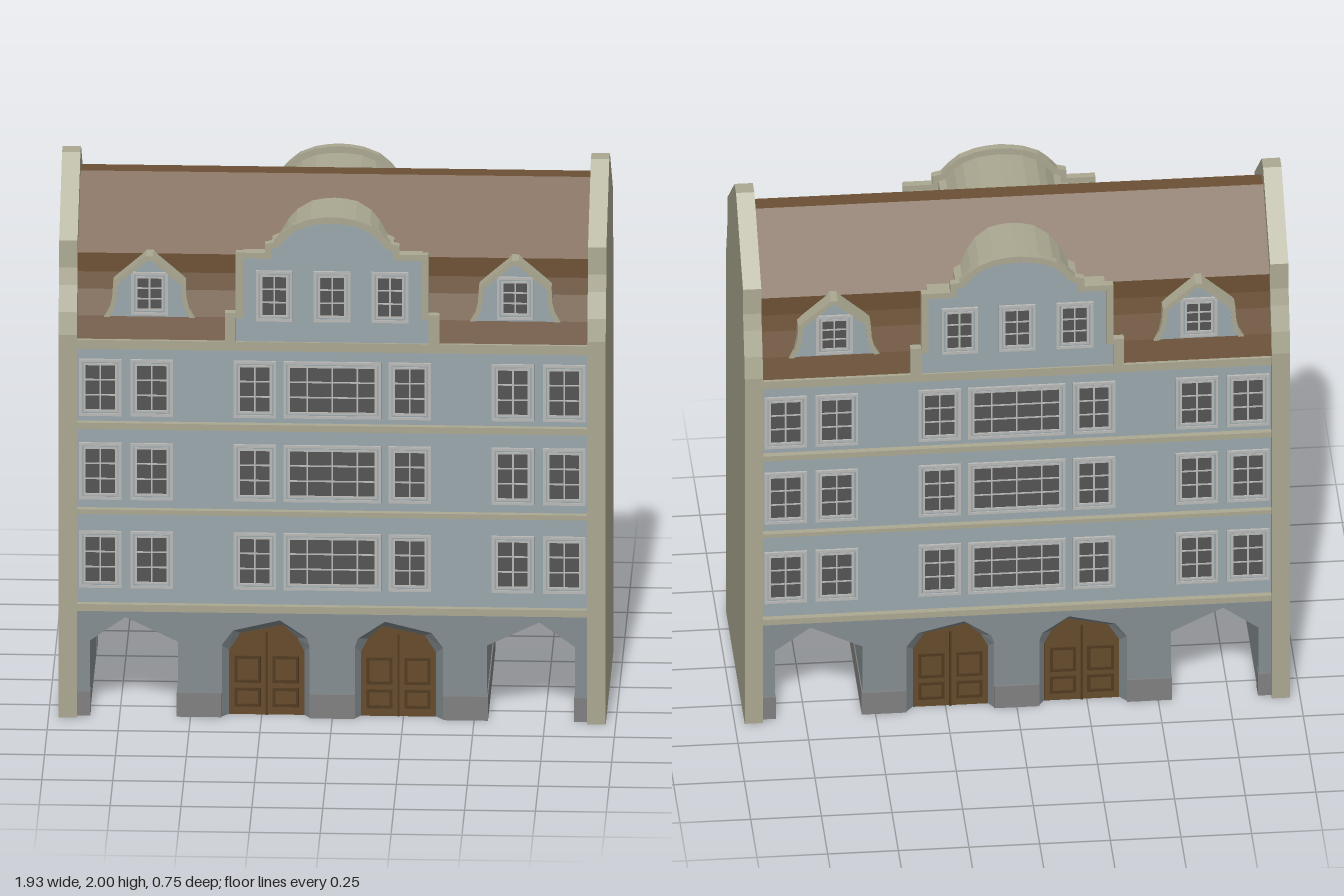
import * as THREE from 'three';

const mat = (color) => new THREE.MeshStandardMaterial({ color, flatShading: true, roughness: 0.9 });
const M = {
  cream: mat(0xaaa891), wall: mat(0x9aa7ac), base: mat(0x848d91), plinth: mat(0x808080),
  roof: mat(0x6b4f33), door: mat(0x654a2b), doorPanel: mat(0x513a20), frame: mat(0xb9b9b7), glass: mat(0x545454),
};
M.reveal = mat(0x7d8588);
M.reveal.side = THREE.DoubleSide;

function add(parent, name, geometry, material) {
  const mesh = new THREE.Mesh(geometry, material);
  mesh.name = name;
  parent.add(mesh);
  return mesh;
}

// Box given by its limits
function box(parent, name, material, x0, x1, y0, y1, z0, z1) {
  const g = new THREE.BoxGeometry(x1 - x0, y1 - y0, z1 - z0);
  g.translate((x0 + x1) / 2, (y0 + y1) / 2, (z0 + z1) / 2);
  return add(parent, name, g, material);
}

const toShape = (pts) => new THREE.Shape(pts.map(([x, y]) => new THREE.Vector2(x, y)));
const mirror = (pts) => pts.map(([x, y]) => [-x, y]).reverse();

// Flat outline extruded from z0 to z1
function slab(parent, name, material, pts, z0, z1, hole) {
  const s = toShape(pts);
  if (hole) s.holes.push(toShape(hole));
  const g = new THREE.ExtrudeGeometry(s, { depth: z1 - z0, bevelEnabled: false });
  g.translate(0, 0, z0);
  return add(parent, name, g, material);
}

// Symmetric cross-section (z, y) extruded along x
function crossSection(parent, name, material, half, x0, x1) {
  const g = new THREE.ExtrudeGeometry(toShape([...half, ...mirror(half)]), { depth: x1 - x0, bevelEnabled: false });
  g.rotateY(Math.PI / 2).translate(x0, 0, 0);
  return add(parent, name, g, material);
}

const rect = (x0, x1, y0, y1) => [[x0, y0], [x1, y0], [x1, y1], [x0, y1]];

// Window with stepped frame, glazing and bars; bars are given as fractions of the glass
function addWindow(parent, x, y, w, h, z, cols, rows) {
  const g = new THREE.Group();
  g.name = 'window';
  g.position.set(x, y, z);
  parent.add(g);
  const a = w / 2, b = h / 2, f = 0.01;
  const ring = (t) => rect(-a + t, a - t, -b + t, b - t);
  slab(g, 'outerFrame', M.frame, ring(0), -0.005, 0.008, ring(f));
  slab(g, 'innerFrame', M.wall, ring(f), -0.005, 0.004, ring(f + 0.005));
  slab(g, 'sash', M.frame, ring(f + 0.005), -0.005, 0.006, ring(f + 0.013));
  const p = a - f - 0.01, q = b - f - 0.01;
  box(g, 'glass', M.glass, -p, p, -q, q, -0.005, 0.001);
  for (const c of cols) box(g, 'mullion', M.frame, c * p - 0.003, c * p + 0.003, -q, q, -0.003, 0.005);
  for (const r of rows) box(g, 'glazingBar', M.frame, -p, p, r * q - 0.0025, r * q + 0.0025, -0.003, 0.004);
}

// Passage and door openings on the +x side, listed from the centre outwards
const PASSAGE = [[0.545, 0], [0.545, 0.28], [0.73, 0.37], [0.855, 0.28], [0.855, 0]];
const DOORWAY = [[0.08, 0], [0.08, 0.27], [0.09, 0.3], [0.185, 0.365], [0.35, 0.325], [0.39, 0.27], [0.39, 0]];
const DOOR = [[0.1, 0], [0.1, 0.24], [0.125, 0.29], [0.175, 0.338], [0.325, 0.305], [0.365, 0.24], [0.365, 0]];

// Ground-floor wall outline with the openings notched out of its lower edge
function groundOutline(...openings) {
  const right = openings.flat();
  return [...mirror(right), ...right, [0.9, 0], [0.9, 0.4], [-0.9, 0.4], [-0.9, 0]];
}

// Splayed reveal between the doorway and the door leaf
function reveal(outer, inner, z0, z1) {
  const pos = [], idx = [];
  outer.forEach(([x, y], i) => {
    pos.push(x, y, z0, inner[i][0], inner[i][1], z1);
    if (i) idx.push(2 * i - 2, 2 * i - 1, 2 * i, 2 * i, 2 * i - 1, 2 * i + 1);
  });
  const g = new THREE.BufferGeometry();
  g.setAttribute('position', new THREE.Float32BufferAttribute(pos, 3));
  g.setIndex(idx);
  g.computeVertexNormals();
  return g;
}

function addDoor(parent, s) {
  const g = new THREE.Group();
  g.name = 'archedDoor';
  parent.add(g);
  const side = (pts) => (s > 0 ? pts : mirror(pts));
  add(g, 'doorReveal', reveal(side(DOORWAY), side(DOOR), 0.345, 0.315), M.reveal);
  slab(g, 'doorLeaf', M.door, side(DOOR), 0.29, 0.317);
  const c = s * 0.2325;
  box(g, 'doorSeam', M.doorPanel, c - 0.004, c + 0.004, 0, 0.31, 0.31, 0.322);
  for (const k of [-1, 1]) for (const [y0, y1] of [[0.03, 0.1], [0.12, 0.22]]) {
    const m = c + k * 0.067;
    slab(g, 'doorPanel', M.doorPanel, rect(m - 0.046, m + 0.046, y0, y1), 0.31, 0.322,
      rect(m - 0.036, m + 0.036, y0 + 0.01, y1 - 0.01));
  }
}

function addDormer(parent, x) {
  const g = new THREE.Group();
  g.name = 'dormer';
  g.position.x = x;
  parent.add(g);
  const outer = [[0.16, 1.5], [0.142, 1.53], [0.132, 1.57], [0.128, 1.63], [0.03, 1.715], [0.012, 1.73]];
  const inner = [[0.14, 1.5], [0.125, 1.53], [0.115, 1.57], [0.111, 1.622], [0.02, 1.702], [0.008, 1.712]];
  slab(g, 'dormerTrim', M.cream, [...outer, ...mirror(outer), ...mirror(inner).reverse(), ...inner.slice().reverse()], 0.27, 0.346);
  slab(g, 'dormerBody', M.wall, [...inner, ...mirror(inner)], 0.25, 0.338);
  addWindow(g, 0, 1.588, 0.13, 0.16, 0.338, [0], [-0.33, 0.33]);
}

function addGable(parent) {
  const g = new THREE.Group();
  g.name = 'curvedGable';
  parent.add(g);
  const outer = [[0.378, 1.42], [0.378, 1.53], [0.34, 1.53], [0.34, 1.757], [0.237, 1.757], [0.237, 1.79],
    [0.205, 1.798], [0.175, 1.832], [0.14, 1.862], [0.085, 1.884], [0.04, 1.892], [0, 1.895]];
  const inner = [[0.34, 1.42], [0.34, 1.51], [0.315, 1.51], [0.315, 1.735], [0.215, 1.735], [0.215, 1.77],
    [0.19, 1.778], [0.16, 1.815], [0.13, 1.84], [0.08, 1.862], [0.038, 1.868], [0, 1.87]];
  const l = (p) => mirror(p).slice(1);
  slab(g, 'gableTrim', M.cream, [...outer, ...l(outer), ...l(inner).reverse(), ...inner.slice().reverse()], 0.342, 0.37);
  slab(g, 'gableWall', M.wall, [...inner, ...l(inner)], 0.342, 0.36);
  const body = [[0.315, 1.43], ...inner.slice(3)];
  slab(g, 'gableRoof', M.cream, [...body, ...l(body)], 0.09, 0.344);
  for (const x of [-0.204, 0, 0.204]) addWindow(g, x, 1.593, 0.13, 0.19, 0.36, [0], [-0.33, 0.33]);
}

function createFacade() {
  const f = new THREE.Group();
  f.name = 'facade';
  slab(f, 'groundFloorFront', M.base, groundOutline(DOORWAY, PASSAGE), 0.3, 0.345);

  // Plinth blocks beside the doors and passages
  box(f, 'plinth', M.plinth, -0.08, 0.08, 0, 0.09, 0.3, 0.352);
  for (const s of [-1, 1]) {
    for (const [a, b] of [[0.39, 0.549], [0.853, 0.9]]) {
      box(f, 'plinth', M.plinth, Math.min(s * a, s * b), Math.max(s * a, s * b), 0, 0.09, 0.3, 0.352);
    }
    addDoor(f, s);
    addDormer(f, s * 0.645);
  }

  // Stepped string courses and eaves cornice
  for (const [y0, y1] of [[0.395, 0.425], [0.76, 0.782], [1.08, 1.108], [1.382, 1.42]]) {
    const m = y0 + (y1 - y0) * 0.4;
    box(f, 'stringCourse', M.cream, -0.9, 0.9, y0, m, 0.33, 0.356);
    box(f, 'stringCourse', M.cream, -0.9, 0.9, m, y1, 0.33, 0.367);
  }

  // Three storeys of windows
  for (const y of [0.588, 0.92, 1.235]) {
    for (const s of [-1, 1]) for (const x of [0.818, 0.637, 0.273]) {
      addWindow(f, s * x, y, 0.15, 0.213, 0.345, [0], [-0.33, 0.33]);
    }
    addWindow(f, 0, y, 0.345, 0.213, 0.345, [-0.58, 0, 0.58], [-0.33, 0.33]);
  }
  addGable(f);
  return f;
}

export function createModel() {
  const model = new THREE.Group();
  model.name = 'townHouse';

  // Main masses
  slab(model, 'groundFloor', M.base, groundOutline(PASSAGE), -0.3, 0.3);
  box(model, 'upperFloors', M.wall, -0.9, 0.9, 0.4, 1.42, -0.345, 0.345);
  for (const s of [-1, 1]) {
    const x = s * 0.52;
    box(model, 'passagePlinth', M.plinth, x - 0.029, x + 0.029, 0, 0.09, -0.3, 0.3);
  }

  // Roof with concave lower slopes and a narrow flat ridge
  crossSection(model, 'roof', M.roof,
    [[0.355, 1.42], [0.335, 1.5], [0.305, 1.59], [0.292, 1.65], [0.29, 1.72], [0.032, 1.932]], -0.9, 0.9);

  // End walls rising above the roof
  for (const x0 of [-0.965, 0.9]) {
    crossSection(model, 'endWall', M.cream,
      [[0.375, 0], [0.375, 1.44], [0.358, 1.52], [0.325, 1.61], [0.309, 1.67], [0.305, 1.77], [0.03, 2]], x0, x0 + 0.065);
  }

  // Matching front and back
  const front = createFacade();
  const back = createFacade();
  back.rotation.y = Math.PI;
  model.add(front, back);
  return model;
}
